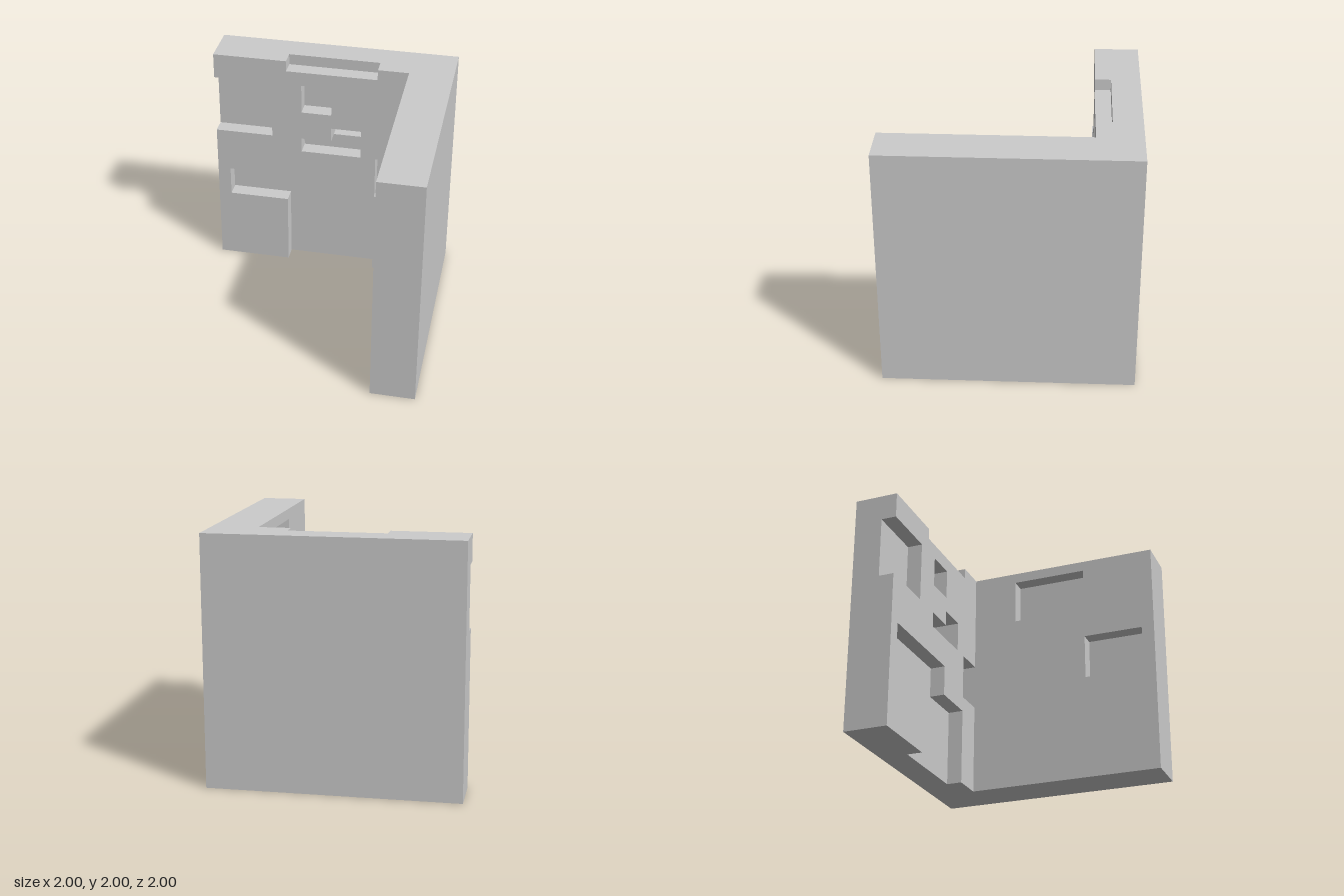
import * as THREE from 'three';

const U = 0.1275; // module of the recess layout and depth of one recess
const material = new THREE.MeshStandardMaterial({ color: 0xcccccc, flatShading: true });

const toPoints = (pts) => pts.map(([x, y]) => new THREE.Vector2(x, y));
const rect = (x0, x1, y0, y1) => [[x0, y0], [x1, y0], [x1, y1], [x0, y1]];

// Flat slab from z0 to z1, cut through by the given holes
function slab(name, outline, holes, z0, z1) {
  const shape = new THREE.Shape(toPoints(outline));
  for (const h of holes) shape.holes.push(new THREE.Path(toPoints(h)));
  const geometry = new THREE.ExtrudeGeometry(shape, { depth: z1 - z0, bevelEnabled: false });
  geometry.translate(0, 0, z0);
  const mesh = new THREE.Mesh(geometry, material);
  mesh.name = name;
  return mesh;
}

function createBackWall() {
  const wall = new THREE.Group();
  wall.name = 'backWall';
  const inner = -5 * U, floor = inner - U, deepFloor = floor - U;

  // Outline with the doorway, the notch in the top edge and the one in the free end
  const outline = [
    [-1, 0], [-3 * U, 0], [-3 * U, 5 * U], [-7 * U, 5 * U], [-7 * U, 7 * U], [0, 7 * U],
    [0, 5 * U], [3 * U, 5 * U], [3 * U, 0], [1, 0], [1, 2],
    [3 * U, 2], [3 * U, 15 * U - 0.005], [-3 * U, 15 * U - 0.005], [-3 * U, 2],
    [-1, 2], [-1, 14 * U], [-4 * U, 14 * U], [-4 * U, 10 * U], [-1, 10 * U],
  ];
  const squareRecess = rect(-2 * U, 0, 12 * U, 14 * U);
  const cornerRecess = rect(3 * U, 5 * U, 6 * U, 9 * U);
  const steppedRecess = [
    [-2 * U, 9 * U], [2 * U, 9 * U], [2 * U, 11 * U], [0, 11 * U], [0, 10 * U], [-2 * U, 10 * U],
  ];
  const deepRecess = rect(0, 2 * U, 10 * U, 11 * U);
  const full = rect(-1, 1, 0, 2);

  wall.add(
    slab('backWallOuterLayer', full, [], -1, deepFloor),
    slab('backWallMiddleLayer', full, [deepRecess], deepFloor, floor),
    slab('backWallRecessedFace', outline, [squareRecess, cornerRecess, steppedRecess], floor, inner),
  );
  return wall;
}

// Drawn facing +z, then turned so that its recessed face looks towards -x
function createSideWall() {
  const wall = new THREE.Group();
  wall.name = 'sideWall';
  const inner = -5 * U, floor = inner - U;
  const full = rect(-5 * U, 1, 0, 2);
  const recesses = [
    rect(-2 * U, 3 * U, 12 * U, 15 * U),
    rect(3 * U, 7 * U, 7 * U, 10 * U),
  ];
  wall.add(
    slab('sideWallOuterLayer', full, [], -1, floor),
    slab('sideWallRecessedFace', full, recesses, floor, inner),
  );
  wall.rotation.y = -Math.PI / 2;
  return wall;
}

export function createModel() {
  const model = new THREE.Group();
  model.name = 'cornerWall';
  model.add(createBackWall(), createSideWall());
  return model;
}
